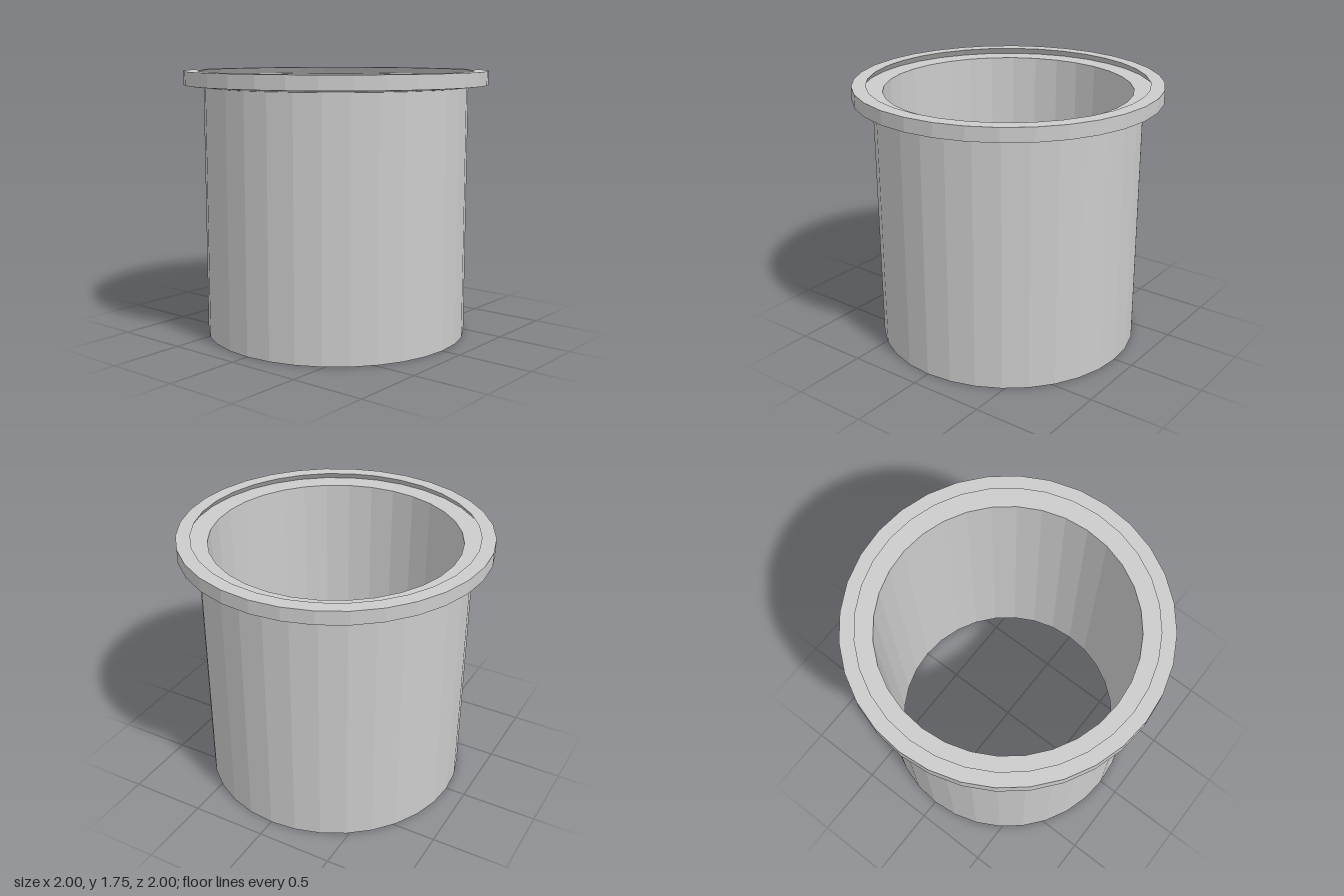
import * as THREE from 'three';

const SEGMENTS = 32;

// Revolves a [radius, height] profile around the y axis.
function revolve(name, profile, material) {
  const points = profile.map(([r, y]) => new THREE.Vector2(r, y));
  const mesh = new THREE.Mesh(new THREE.LatheGeometry(points, SEGMENTS), material);
  mesh.name = name;
  return mesh;
}

export function createModel() {
  const group = new THREE.Group();
  group.name = 'flangedSleeve';
  const material = new THREE.MeshStandardMaterial({
    color: 0xcccccc, flatShading: true, side: THREE.DoubleSide,
  });

  // Sleeve: slightly tapered bore, bottom edge, straight outer wall
  group.add(revolve('sleeve', [
    [0.805, 1.707], [0.785, 0], [0.87, 0], [0.87, 1.645],
  ], material));

  // Flange: sloped underside, rim, flat top and undercut seat around the bore
  group.add(revolve('flange', [
    [0.87, 1.645], [1, 1.66], [1, 1.75], [0.91, 1.75], [0.94, 1.707], [0.805, 1.707],
  ], material));

  return group;
}
